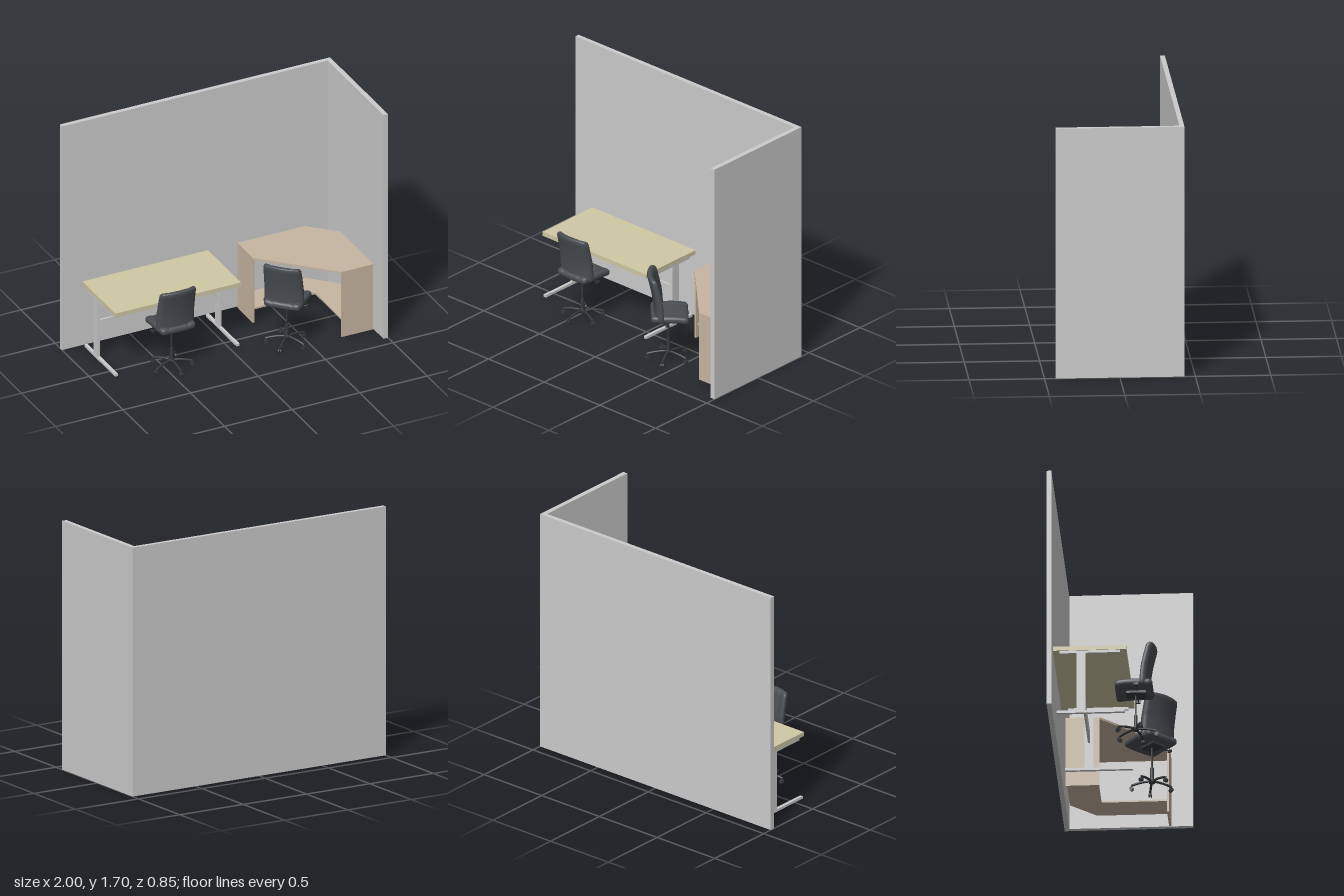
import * as THREE from 'three';
import { mergeVertices } from 'three/addons/utils/BufferGeometryUtils.js';

const mat = (color, side = THREE.FrontSide) => new THREE.MeshStandardMaterial({ color, side });
const grey = mat(0xcccccc), sand = mat(0xcfc9a5), brown = mat(0xc7b6a2);
const dark = mat(0x4a4e52), black = mat(0x35383b);

function add(parent, name, geometry, material) {
  const mesh = new THREE.Mesh(geometry, material);
  mesh.name = name;
  parent.add(mesh);
  return mesh;
}

// Box given by its limits on each axis
function block(parent, name, [x0, x1], [y0, y1], [z0, z1], material) {
  const mesh = add(parent, name, new THREE.BoxGeometry(x1 - x0, y1 - y0, z1 - z0), material);
  mesh.position.set((x0 + x1) / 2, (y0 + y1) / 2, (z0 + z1) / 2);
  return mesh;
}

// Horizontal board from an outline of [x, z] points
function board(parent, name, outline, y0, y1, material) {
  const shape = new THREE.Shape(outline.map(([x, z]) => new THREE.Vector2(x, -z)));
  const geo = new THREE.ExtrudeGeometry(shape, { depth: y1 - y0, bevelEnabled: false });
  geo.rotateX(-Math.PI / 2);
  geo.translate(0, y0, 0);
  return add(parent, name, geo, material);
}

// Rounded cushion, then bent by a rule on its points
function cushion(w, h, d, r, bend) {
  let geo = new THREE.BoxGeometry(w, h, d, 26, 18, 18);
  geo.deleteAttribute('normal');
  geo.deleteAttribute('uv');
  geo = mergeVertices(geo);
  const pos = geo.attributes.position, p = new THREE.Vector3(), core = new THREE.Vector3();
  const lim = new THREE.Vector3(w / 2 - r, h / 2 - r, d / 2 - r);
  for (let i = 0; i < pos.count; i++) {
    p.fromBufferAttribute(pos, i);
    core.copy(p).clamp(lim.clone().negate(), lim);
    p.sub(core).setLength(r).add(core);
    bend(p);
    pos.setXYZ(i, p.x, p.y, p.z);
  }
  geo.computeVertexNormals();
  return geo;
}

const seam = x => Math.exp(-(((Math.abs(x) - 0.075) / 0.008) ** 2)) * 0.005;

// Office chair around its column, facing -z
function makeChair() {
  const chair = new THREE.Group();
  chair.name = 'officeChair';

  // Seat with a drooping front edge and seams
  const seat = add(chair, 'seat', cushion(0.27, 0.052, 0.25, 0.024, p => {
    if (p.y > 0) p.y -= seam(p.x);
    p.x *= 1 - 0.06 * Math.max(0, p.z / 0.125);
    p.y += 0.25 * p.x * p.x - 0.012 * Math.max(0, -p.z / 0.125) ** 2;
  }), dark);
  seat.position.set(0, 0.338, -0.008);

  // Reclined backrest, wrapped forward at its sides
  const back = add(chair, 'backrest', cushion(0.275, 0.325, 0.045, 0.021, p => {
    const t = p.y / 0.325 + 0.5;
    if (p.z < 0) p.z += seam(p.x);
    p.z += -1.5 * p.x * p.x + 0.05 * (t - 0.5) - 0.012 * Math.sin(Math.PI * t);
    p.x *= 1 - 0.05 * t * t;
    p.y -= 0.35 * p.x * p.x * (t > 0.5 ? 1 : -1);
  }), dark);
  back.position.set(0, 0.477, 0.1);

  // Tilt mechanism, adjusting rod and column
  block(chair, 'tiltMechanism', [-0.05, 0.05], [0.296, 0.318], [-0.06, 0.07], black);
  const rod = add(chair, 'adjustingRod', new THREE.CylinderGeometry(0.004, 0.004, 0.3, 8), black);
  rod.rotation.z = Math.PI / 2;
  rod.position.set(0, 0.315, 0.01);
  for (const s of [-1, 1])
    block(chair, 'rodHandle', [s * 0.147 - 0.007, s * 0.147 + 0.007], [0.307, 0.323], [-0.004, 0.024], black);
  const column = [[0, 0.04], [0.021, 0.04], [0.021, 0.065], [0.012, 0.07], [0.012, 0.15], [0.006, 0.152], [0.006, 0.3]];
  add(chair, 'gasColumn', new THREE.LatheGeometry(column.map(c => new THREE.Vector2(...c)), 16), black);

  // Five-armed base with twin-wheel casters
  for (let i = 0; i < 5; i++) {
    const arm = new THREE.Group();
    arm.name = 'baseArm';
    arm.rotation.y = (i * Math.PI * 2) / 5;
    chair.add(arm);
    const path = new THREE.QuadraticBezierCurve3(
      new THREE.Vector3(0, 0.055, 0.01), new THREE.Vector3(0, 0.057, 0.08), new THREE.Vector3(0, 0.036, 0.142));
    add(arm, 'spoke', new THREE.TubeGeometry(path, 8, 0.008, 8), black);
    const stem = add(arm, 'casterStem', new THREE.CylinderGeometry(0.006, 0.006, 0.03, 8), black);
    stem.position.set(0, 0.028, 0.138);
    for (const s of [-1, 1]) {
      const wheel = add(arm, 'casterWheel', new THREE.CylinderGeometry(0.014, 0.014, 0.008, 14), black);
      wheel.rotation.z = Math.PI / 2;
      wheel.position.set(s * 0.008, 0.014, 0.138);
    }
  }
  return chair;
}

// Straight desk with metal frame
function makeDesk() {
  const desk = new THREE.Group();
  desk.name = 'straightDesk';
  block(desk, 'deskTop', [-0.85, 0.08], [0.455, 0.485], [-0.395, 0.09], sand);
  for (const x of [-0.837, 0.063]) {
    block(desk, 'foot', [x - 0.011, x + 0.011], [0, 0.018], [-0.37, 0.08], grey);
    block(desk, 'upright', [x - 0.008, x + 0.008], [0.018, 0.437], [-0.24, -0.18], grey);
    block(desk, 'topArm', [x - 0.008, x + 0.008], [0.437, 0.455], [-0.35, 0.05], grey);
  }
  block(desk, 'modestyPanel', [-0.829, 0.055], [0.2, 0.28], [-0.217, -0.203], grey);
  return desk;
}

// Corner desk with panel sides and a low shelf
function makeCornerDesk() {
  const desk = new THREE.Group();
  desk.name = 'cornerDesk';
  board(desk, 'cornerTop', [[0.29, -0.38], [0.79, -0.38], [0.965, -0.21], [0.965, 0.28], [0.73, 0.28], [0.29, -0.155]],
    0.48, 0.495, brown);
  block(desk, 'leftPanel', [0.29, 0.304], [0, 0.48], [-0.38, -0.155], brown);
  block(desk, 'rightPanel', [0.73, 0.962], [0, 0.48], [0.266, 0.28], brown);
  board(desk, 'lowShelf', [[0.304, -0.38], [0.79, -0.38], [0.962, -0.21], [0.962, 0.266], [0.76, 0.266], [0.76, -0.17], [0.304, -0.17]],
    0.09, 0.102, brown);
  return desk;
}

export function createModel() {
  const model = new THREE.Group();
  model.name = 'officeCubicle';

  // Partition walls
  block(model, 'backWall', [-1, 1], [0, 1.7], [-0.428, -0.396], grey);
  block(model, 'sideWall', [0.966, 1], [0, 1.7], [-0.396, 0.425], grey);

  model.add(makeDesk(), makeCornerDesk());

  // Two chairs: one square to its desk, one turned to the corner
  for (const [x, z, turn] of [[-0.455, 0.13, 0], [0.37, 0.188, -0.8]]) {
    const chair = makeChair();
    chair.position.set(x, 0, z);
    chair.rotation.y = turn;
    model.add(chair);
  }
  return model;
}
